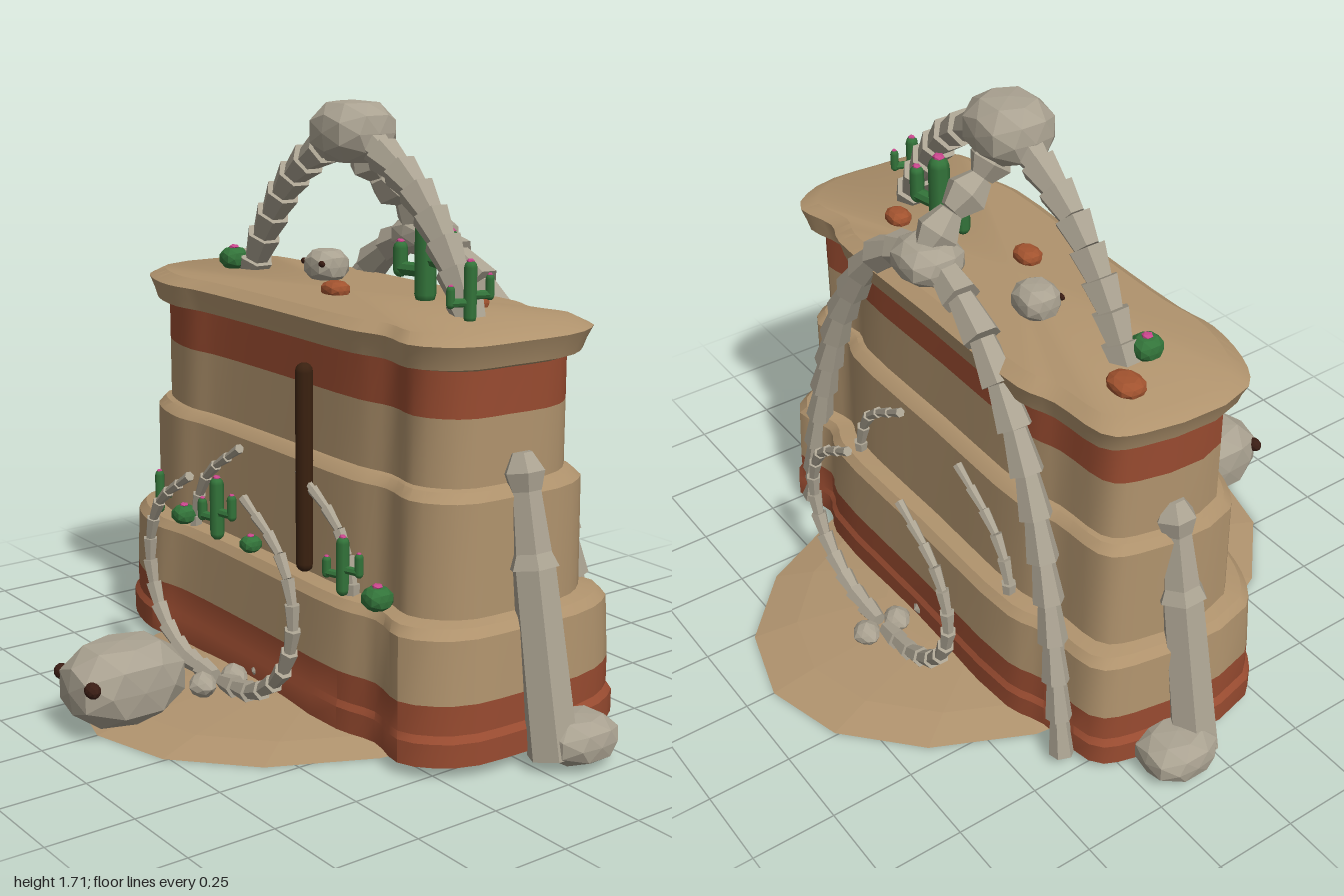
import * as THREE from 'three';
import { toCreasedNormals } from 'three/addons/utils/BufferGeometryUtils.js';

const mat = (name, color, side = THREE.FrontSide) => {
  const m = new THREE.MeshStandardMaterial({ color, side });
  m.name = name;
  return m;
};
const V = (x, y, z) => new THREE.Vector3(x, y, z);

export function createModel() {
  const root = new THREE.Group();
  root.name = 'desertMesa';
  const tan = mat('sandstone', 0xb0936d);
  const sand = mat('sand', 0xb0936e, THREE.DoubleSide);
  const brick = mat('redStone', 0x984b30);
  const bone = mat('bone', 0xaaa291);
  const green = mat('cactusGreen', 0x33743a);
  const pink = mat('flowerPink', 0xc8468c);
  const wood = mat('darkWood', 0x3a2110);
  const dark = mat('eyeSocket', 0x3a1d14);
  const redRock = mat('rustRock', 0xa2532f);

  const flat = (g) => {
    const n = g.index ? g.toNonIndexed() : g;
    n.computeVertexNormals();
    return n;
  };
  const add = (name, geo, m, parent = root) => {
    const mesh = new THREE.Mesh(geo, m);
    mesh.name = name;
    parent.add(mesh);
    return mesh;
  };
  const group = (name, parent = root) => {
    const g = new THREE.Group();
    g.name = name;
    parent.add(g);
    return g;
  };

  // Faceted boulder: a sphere pushed towards a box
  const boulder = (name, x, y, z, sx, sy, sz, m, parent = root, p = 3, detail = 1) => {
    const g = new THREE.IcosahedronGeometry(1, detail);
    const pos = g.attributes.position;
    for (let i = 0; i < pos.count; i++) {
      const a = [pos.getX(i), pos.getY(i), pos.getZ(i)];
      const k = Math.pow(a.reduce((s, c) => s + Math.abs(c) ** p, 0), -1 / p);
      pos.setXYZ(i, a[0] * k * sx, a[1] * k * sy, a[2] * k * sz);
    }
    const mesh = add(name, flat(g), m, parent);
    mesh.position.set(x, y, z);
    return mesh;
  };

  // Tapered limb between two points
  const limb = (name, a, b, r0, r1, m, parent, sides = 6) => {
    const d = b.clone().sub(a);
    const mesh = add(name, flat(new THREE.CylinderGeometry(r1, r0, d.length(), sides)), m, parent);
    mesh.position.copy(a).addScaledVector(d, 0.5);
    mesh.quaternion.setFromUnitVectors(V(0, 1, 0), d.normalize());
    return mesh;
  };

  // Chain of flared bones along a curve
  const chain = (name, pts, n, r0, r1, parent = root) => {
    const g = group(name, parent);
    const p = new THREE.CatmullRomCurve3(pts).getSpacedPoints(n);
    for (let i = 0; i < n; i++) {
      const r = r0 + ((r1 - r0) * i) / n;
      limb('boneSegment', p[i], p[i + 1], r * 0.78, r * 1.12, bone, g);
    }
    return g;
  };

  // Shallow sand mound, open below
  const mound = add('sandMound', flat(new THREE.LatheGeometry(
    [[1, 0], [0.84, 0.022], [0.5, 0.042], [0, 0.05]].map(([r, y]) => new THREE.Vector2(r, y)), 16)), sand);
  mound.scale.set(0.63, 1, 0.87);
  mound.position.z = -0.04;

  // Mesa: one wavy footprint lofted through the tiers
  const outline = new THREE.CatmullRomCurve3([
    [-1, 0.62], [-0.86, 0.86], [-0.66, 0.97], [-0.5, 0.92], [0, 0.93], [0.5, 0.96], [0.66, 0.88],
    [0.82, 0.96], [0.96, 0.7], [1, 0.1], [0.99, -0.64], [0.87, -0.99], [0.7, -0.9], [0.58, -1],
    [0, -1], [-0.56, -0.98], [-0.7, -0.86], [-0.92, -0.8], [-1, -0.5],
  ].map(([x, z]) => V(x, 0, z)), true, 'centripetal').getPoints(57).slice(0, 57);
  const loft = (name, rings, m, capTop, capBottom) => {
    const v = [];
    const at = ([y, sx, sz], i) => {
      const p = outline[i % outline.length];
      return [p.x * sx, y, p.z * sz - 0.035];
    };
    const top = rings[rings.length - 1], bot = rings[0];
    for (let i = 0; i < outline.length; i++) {
      for (let r = 0; r + 1 < rings.length; r++) {
        const a = at(rings[r], i), b = at(rings[r], i + 1);
        const c = at(rings[r + 1], i + 1), d = at(rings[r + 1], i);
        v.push(...a, ...b, ...c, ...a, ...c, ...d);
      }
      if (capTop) v.push(0, top[0], -0.035, ...at(top, i), ...at(top, i + 1));
      if (capBottom) v.push(0, bot[0], -0.035, ...at(bot, i + 1), ...at(bot, i));
    }
    const g = new THREE.BufferGeometry();
    g.setAttribute('position', new THREE.Float32BufferAttribute(v, 3));
    add(name, toCreasedNormals(g, 0.5), m);
  };
  loft('mesaRedBase', [[0.035, 0.84, 0.37], [0.1, 0.84, 0.37], [0.118, 0.826, 0.36], [0.2, 0.826, 0.36]], brick, false, true);
  loft('mesaTiers', [[0.2, 0.826, 0.36], [0.375, 0.818, 0.355], [0.4, 0.8, 0.335], [0.408, 0.768, 0.288],
    [0.72, 0.766, 0.286], [0.745, 0.75, 0.262], [0.75, 0.732, 0.248], [0.935, 0.732, 0.248]], tan);
  loft('mesaRedBand', [[0.935, 0.732, 0.248], [1.06, 0.732, 0.248]], brick);
  loft('mesaCap', [[1.06, 0.732, 0.248], [1.07, 0.755, 0.288], [1.1, 0.765, 0.295], [1.135, 0.782, 0.305],
    [1.16, 0.735, 0.265]], tan, true);

  // Arch on the summit and the backbone running down behind it
  boulder('archKeystone', 0, 1.615, -0.05, 0.125, 0.09, 0.11, bone);
  for (const s of [-1, 1]) {
    chain('summitArch', [V(s * 0.54, 1.12, -0.05), V(s * 0.43, 1.31, -0.05), V(s * 0.28, 1.48, -0.05),
      V(s * 0.06, 1.6, -0.05)], 8, 0.05, 0.05);
    chain('backLeg', [V(s * 0.04, 1.3, -0.31), V(s * 0.24, 1.2, -0.32), V(s * 0.45, 0.93, -0.33),
      V(s * 0.58, 0.6, -0.345), V(s * 0.65, 0.32, -0.36), V(s * 0.7, 0.03, -0.37)], 12, 0.052, 0.032);
  }
  boulder('hipBone', 0, 1.3, -0.32, 0.1, 0.06, 0.09, bone);
  const neck = [V(0, 1.57, -0.08), V(0, 1.49, -0.14), V(0, 1.42, -0.24), V(0, 1.32, -0.33)];
  for (let i = 0; i < 3; i++) {
    const mid = neck[i].clone().lerp(neck[i + 1], 0.5);
    limb('neckBone', neck[i], mid, 0.035, 0.065, bone, root);
    limb('neckBone', mid, neck[i + 1], 0.065, 0.035, bone, root);
  }

  // Leaning side posts with boulder feet
  for (const s of [-1, 1]) {
    const g = group('sidePost');
    const at = (y) => V(s * (0.9 - 0.19 * y), y, -0.045);
    limb('postShaft', at(0.03), at(0.53), 0.072, 0.062, bone, g);
    limb('postCollar', at(0.53), at(0.59), 0.072, 0.045, bone, g);
    limb('postNeck', at(0.57), at(0.75), 0.055, 0.042, bone, g);
    limb('postTip', at(0.73), at(0.78), 0.045, 0.06, bone, g);
    limb('postTip', at(0.78), at(0.83), 0.06, 0.03, bone, g);
    boulder('postFoot', s * 0.9, 0.07, -0.12, 0.1, 0.064, 0.11, bone, g);
  }

  // Half-buried ribcage: rib pairs on a spine along z
  const ribs = group('ribcage');
  for (const [z, k] of [[0.43, 1], [0.25, 1.08], [-0.34, 1.08], [-0.53, 1]]) {
    for (const s of [-1, 1]) {
      chain('rib', [[0.02, 0.07], [0.18, 0.09], [0.32, 0.19], [0.375, 0.36], [0.32, 0.52], [0.14, 0.645]]
        .map(([x, y]) => V(s * x * k, y * k, z)), 13, 0.03, 0.012, ribs);
    }
  }
  for (let i = 0; i < 11; i++) {
    boulder('vertebra', 0, 0.065, 0.485 - i * 0.107, 0.05, 0.042, 0.045, bone, ribs, 1.5);
  }

  // Skulls with dark eyes
  const skull = (name, x, y, z, sx, sy, sz) => {
    const g = group(name);
    boulder('cranium', x, y, z, sx, sy, sz, bone, g, 3.2);
    for (const s of [-1, 1]) {
      boulder('eye', x + s * sx * 0.68, y + sy * 0.25, z + sz * 0.84, sx * 0.22, sy * 0.2, sz * 0.13, dark, g, 2);
    }
  };
  skull('groundSkull', 0, 0.145, 0.745, 0.128, 0.115, 0.168);
  skull('summitSkull', -0.21, 1.2, -0.11, 0.066, 0.05, 0.06);

  // Wooden pole on the front
  const pole = add('pole', new THREE.CapsuleGeometry(0.026, 0.55, 4, 10), wood);
  pole.position.set(0.18, 0.71, 0.252);

  // Branching cacti
  const tallCactus = (x, y, z, h, turn, arms) => {
    const g = group('tallCactus');
    g.position.set(x, y, z);
    g.rotation.y = turn;
    const r = h * 0.115;
    const stem = (cx, y0, y1, rr) => {
      add('stem', new THREE.CapsuleGeometry(rr, y1 - y0 - rr, 3, 8), green, g).position.set(cx, (y0 + y1) / 2, 0);
      boulder('flower', cx, y1 + rr * 0.4, 0, rr * 0.6, rr * 0.4, rr * 0.6, pink, g, 2, 0);
    };
    stem(0, 0, h * 0.94, r);
    for (const [s, low, high] of arms) {
      const ax = s * h * 0.34;
      limb('armBase', V(0, low * h, 0), V(ax, low * h, 0), r * 0.65, r * 0.65, green, g, 8);
      stem(ax, (low - 0.06) * h, high * h, r * 0.68);
    }
  };
  const both = [[-1, 0.3, 0.55], [1, 0.42, 0.72]];
  tallCactus(0.26, 1.16, -0.11, 0.27, 0.2, both);
  tallCactus(0.58, 1.16, 0, 0.16, 1.2, both);
  tallCactus(-0.58, 0.41, 0.27, 0.13, 1.3, [[1, 0.35, 0.6]]);
  tallCactus(-0.24, 0.41, 0.275, 0.185, 0.2, both);
  tallCactus(0.39, 0.41, 0.275, 0.16, 0.3, both);

  // Barrel cacti
  for (const [x, y, z, r] of [[-0.55, 1.16, 0, 0.042], [-0.42, 0.41, 0.28, 0.036], [-0.06, 0.41, 0.275, 0.03],
    [0.55, 0.41, 0.28, 0.04]]) {
    boulder('barrelCactus', x, y + r * 0.75, z, r, r * 0.8, r, green, root, 3);
    boulder('barrelFlower', x, y + r * 1.58, z, r * 0.4, r * 0.2, r * 0.4, pink, root, 2, 0);
  }

  // Loose red stones on the summit
  for (const [x, z, r] of [[-0.63, -0.13, 0.055], [0.025, 0.03, 0.045], [0.42, -0.155, 0.042]]) {
    boulder('looseStone', x, 1.172, z, r, 0.024, r * 0.8, redRock, root, 3);
  }
  return root;
}
